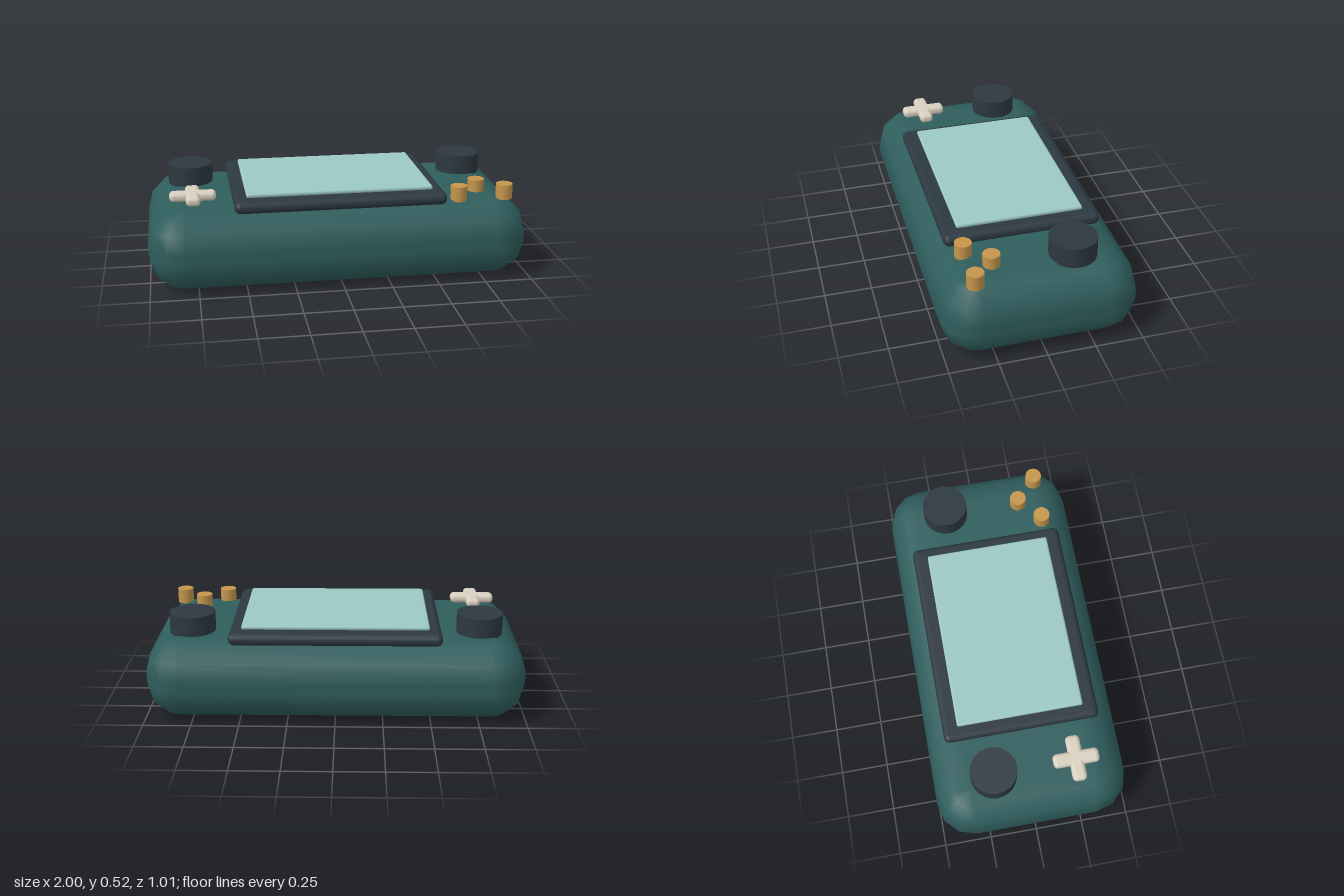
import * as THREE from 'three';

const paint = (color) => new THREE.MeshStandardMaterial({ color });
const teal = paint(0x2f5d5d);
const charcoal = paint(0x2d3840);
const glass = paint(0x9cc8c4);
const brass = paint(0xc4964c);
const cream = paint(0xd8d0c0);

// Slab with spherical corners, three equal arc steps per quarter turn.
function roundedSlab(w, h, d, r) {
  const rings = 10; // bottom centre, 4 + 4 arc rings, top centre
  const outline = Array.from({ length: rings }, (_, j) => new THREE.Vector2(j % 9 ? 1 : 0, j));
  const geo = new THREE.LatheGeometry(outline, 16);
  const pos = geo.attributes.position;
  const nor = geo.attributes.normal;
  for (let k = 0; k < pos.count; k++) {
    const i = Math.floor(k / rings) % 16;
    const j = k % rings;
    const quarter = Math.floor(i / 4);
    const a = (quarter * 3 + (i % 4)) * Math.PI / 6;
    const sx = quarter < 2 ? 1 : -1;
    const sz = quarter === 0 || quarter === 3 ? 1 : -1;
    const sy = j < 5 ? -1 : 1;
    if (j === 0 || j === rings - 1) {
      pos.setXYZ(k, 0, sy * h / 2, 0);
      nor.setXYZ(k, 0, sy, 0);
      continue;
    }
    const step = j < 5 ? j - 4 : j - 5;
    const phi = step * Math.PI / 6;
    const nx = Math.cos(phi) * Math.sin(a), ny = Math.sin(phi), nz = Math.cos(phi) * Math.cos(a);
    pos.setXYZ(k, sx * (w / 2 - r) + r * nx, sy * (h / 2 - r) + r * ny, sz * (d / 2 - r) + r * nz);
    nor.setXYZ(k, nx, ny, nz);
  }
  return geo;
}

export function createModel() {
  const model = new THREE.Group();

  function add(name, geometry, material, x, y, z, parent = model) {
    const mesh = new THREE.Mesh(geometry, material);
    mesh.name = name;
    mesh.position.set(x, y, z);
    parent.add(mesh);
    return mesh;
  }

  // Case, screen frame and screen
  add('body', roundedSlab(2, 0.422, 1.01, 0.187), teal, 0, 0.211, 0);
  add('screenFrame', roundedSlab(1.11, 0.064, 0.82, 0.03), charcoal, 0, 0.437, 0);
  add('screen', roundedSlab(0.98, 0.024, 0.665, 0.011), glass, 0, 0.481, 0);

  // Thumb sticks
  for (const side of [-1, 1]) {
    add(side > 0 ? 'leftStick' : 'rightStick',
      new THREE.CylinderGeometry(0.121, 0.121, 0.11, 32), charcoal, side * 0.76, 0.47, -0.19);
  }

  // Direction pad: two crossed bars
  const pad = new THREE.Group();
  pad.name = 'directionPad';
  pad.position.set(-0.76, 0.47, 0.24);
  model.add(pad);
  add('padBarAcross', roundedSlab(0.24, 0.05, 0.075, 0.022), cream, 0, 0, 0, pad);
  add('padBarAlong', roundedSlab(0.075, 0.05, 0.24, 0.022), cream, 0, 0, 0, pad);

  // Action buttons
  [[0.63, 0.333], [0.753, 0.222], [0.877, 0.333]].forEach(([x, z], i) => {
    add('actionButton' + (i + 1), new THREE.CylinderGeometry(0.044, 0.044, 0.08, 20), brass, x, 0.448, z);
  });

  return model;
}
